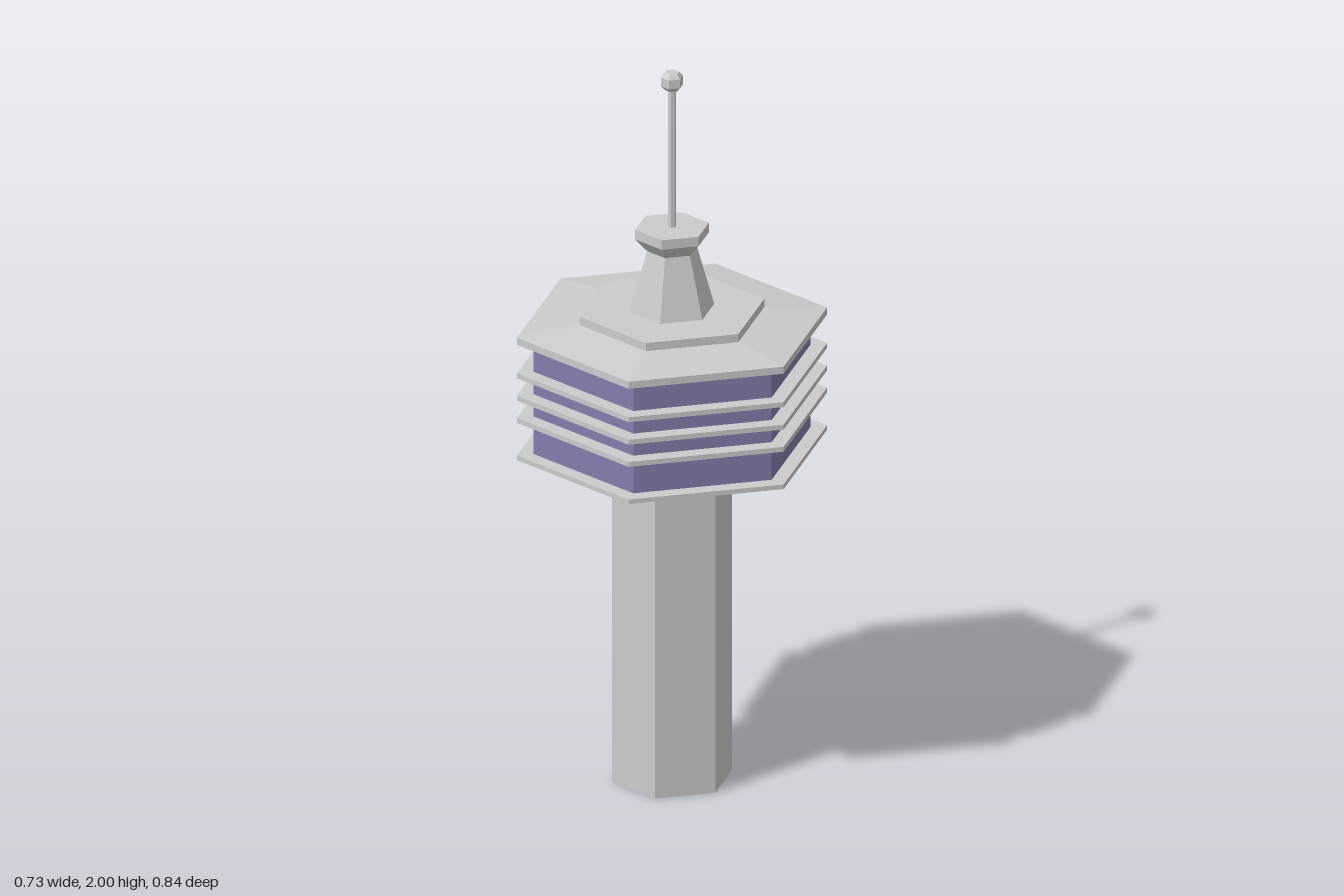
import * as THREE from 'three';

const grey = new THREE.MeshStandardMaterial({ color: 0xcccccc, flatShading: true });
const glass = new THREE.MeshStandardMaterial({ color: 0x847cac, flatShading: true });

// Closed six-sided solid from [radius, height] pairs, bottom to top, with a corner facing +z
function hexSolid(name, profile, material = grey) {
  const points = [
    [0, profile[0][1]],
    ...profile,
    [0, profile[profile.length - 1][1]],
  ].map(([r, y]) => new THREE.Vector2(r, y));
  const mesh = new THREE.Mesh(new THREE.LatheGeometry(points, 6), material);
  mesh.name = name;
  return mesh;
}

export function createModel() {
  const tower = new THREE.Group();
  tower.name = 'observationTower';

  // Column and observation pod
  tower.add(hexSolid('shaft', [[0.163, 0], [0.163, 0.895]]));
  tower.add(hexSolid('podBase', [[0.163, 0.892], [0.42, 0.94], [0.42, 0.953]]));
  tower.add(hexSolid('windows', [[0.375, 0.95], [0.375, 1.272]], glass));

  // Thin sun-shade ledges around the windows
  [1.053, 1.116, 1.18].forEach((y, i) => {
    tower.add(hexSolid('ledge' + (i + 1), [[0.42, y - 0.007], [0.42, y + 0.007]]));
  });

  // Sloping roof with a raised tier
  tower.add(hexSolid('roof', [[0.42, 1.268], [0.42, 1.288], [0.25, 1.307]]));
  tower.add(hexSolid('roofTier', [[0.25, 1.3], [0.25, 1.33]]));

  // Tapered neck and flared crown
  tower.add(hexSolid('neck', [[0.115, 1.328], [0.067, 1.5]]));
  tower.add(hexSolid('crown', [[0.067, 1.498], [0.1, 1.535], [0.1, 1.562]]));

  // Antenna and its faceted tip
  tower.add(hexSolid('mast', [[0.011, 1.56], [0.011, 1.96]]));
  tower.add(hexSolid('mastTip', [[0.018, 1.951], [0.03, 1.963], [0.03, 1.988], [0.02, 2]]));

  return tower;
}
